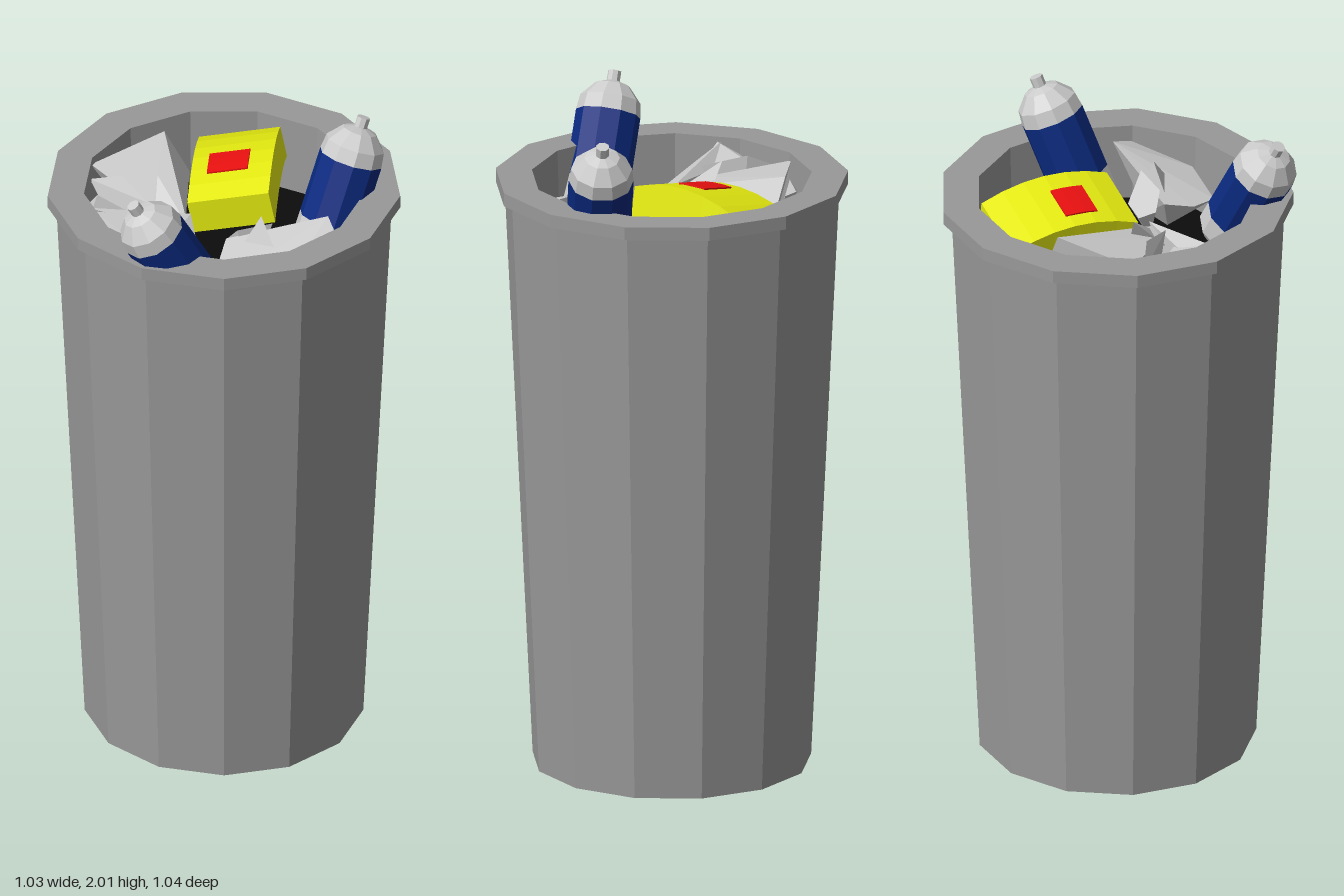
import * as THREE from 'three';
import { ConvexGeometry } from 'three/addons/geometries/ConvexGeometry.js';

const mat = (color, side = THREE.FrontSide) =>
  new THREE.MeshStandardMaterial({ color, flatShading: true, side });
const grey = mat(0xcccccc), binGrey = mat(0x999999), blue = mat(0x0b2a80);
const yellow = mat(0xe4ea10), red = mat(0xe81010), black = mat(0x0c0c0c, THREE.DoubleSide);

function add(parent, name, geometry, material) {
  const mesh = new THREE.Mesh(geometry, material);
  mesh.name = name;
  parent.add(mesh);
  return mesh;
}

// Revolved profile, [radius, height] listed from the bottom up on the outside
const lathe = (profile, sides) => new THREE.LatheGeometry(
  profile.map(([r, y]) => new THREE.Vector2(r, y)), sides, Math.PI / 2);

// Bottle hung from its tip, leaning along the given axis
function bottle(name, tip, axis) {
  const g = new THREE.Group();
  g.name = name;
  const r = 0.096;
  add(g, 'bottleBase', lathe([[0, -0.43], [0.075, -0.43], [r, -0.4], [r, -0.33]], 10), grey);
  add(g, 'bottleLabel', lathe([[r, -0.33], [r, -0.13]], 10), blue);
  add(g, 'bottleShoulder', lathe([[r, -0.13], [0.09, -0.085], [0.052, -0.042], [0.018, -0.03]], 10), grey);
  add(g, 'bottleCap', lathe([[0.02, -0.036], [0.02, 0], [0, 0]], 8), grey);
  g.position.set(...tip);
  g.quaternion.setFromUnitVectors(new THREE.Vector3(0, 1, 0), new THREE.Vector3(...axis).normalize());
  return g;
}

// Crumpled paper: faceted chunks, each the hull of a few corners
function paper(parent, name, chunks) {
  const g = new THREE.Group();
  g.name = name;
  chunks.forEach((pts) => add(g, 'paperFold',
    new ConvexGeometry(pts.map((p) => new THREE.Vector3(...p))), grey));
  parent.add(g);
}

// Height of the carton's arched, tilted top
const archY = (u, v) => 1.795 + 0.2 * u - v * v + 0.05 * v;

// Bends a box over the arch; its local top (y = 0) follows the surface
function arch(geometry) {
  const p = geometry.attributes.position;
  for (let i = 0; i < p.count; i++) {
    const u = p.getX(i), y = p.getY(i), v = p.getZ(i);
    p.setXYZ(i, u - y * 0.2, archY(u, v) + y, v);
  }
  geometry.computeVertexNormals();
  return geometry;
}

export function createModel() {
  const model = new THREE.Group();
  model.name = 'trashBin';

  // Bin: thirteen-sided hollow tapered wall with a flat overhanging rim
  const bin = new THREE.Group();
  bin.name = 'bin';
  bin.position.x = -0.0075;
  model.add(bin);
  add(bin, 'binWall', lathe([[0.415, 1.795], [0.35, 0], [0.413, 0], [0.497, 1.755]], 13), binGrey);
  add(bin, 'binRim', lathe([[0.497, 1.755], [0.5225, 1.755], [0.5225, 1.795], [0.415, 1.795]], 13), binGrey);

  // Dark fill under the rubbish
  const fill = add(bin, 'darkFill', new THREE.CircleGeometry(0.407, 13), black);
  fill.rotation.x = -Math.PI / 2;
  fill.position.y = 1.56;

  // Bottles
  model.add(bottle('leftBottle', [0.395, 1.998, 0.1], [0.37, 0.92, -0.14]));
  model.add(bottle('rightBottle', [-0.4, 1.975, 0.28], [-0.5, 0.87, -0.02]));

  // Arched carton with a patch on top
  const carton = new THREE.Group();
  carton.name = 'carton';
  carton.position.set(0.08, 0, -0.15);
  carton.rotation.y = -0.45;
  model.add(carton);
  add(carton, 'cartonBody', arch(new THREE.BoxGeometry(0.24, 0.1, 0.4, 1, 1, 6).translate(0, -0.05, 0)), yellow);
  add(carton, 'cartonPatch', arch(new THREE.BoxGeometry(0.12, 0.006, 0.1, 1, 1, 3).translate(-0.011, 0.001, 0.04)), red);

  // Back paper: broad tilted sheet, rear fold and two spikes
  paper(model, 'backPaper', [
    [[-0.32, 1.77, -0.28], [-0.07, 1.8, -0.33], [0, 1.66, -0.305], [-0.135, 1.72, 0.02],
      [-0.22, 1.73, -0.04], [-0.2, 1.57, -0.25], [-0.08, 1.57, -0.2]],
    [[-0.23, 1.74, -0.3], [-0.19, 1.72, -0.335], [-0.12, 1.74, -0.35], [-0.07, 1.74, -0.33], [-0.13, 1.57, -0.27]],
    [[-0.335, 1.74, -0.25], [-0.31, 1.66, -0.16], [-0.23, 1.76, -0.03], [-0.27, 1.79, -0.16], [-0.25, 1.57, -0.15]],
    [[-0.175, 1.8, -0.11], [-0.22, 1.7, -0.02], [-0.135, 1.7, 0.03], [-0.13, 1.7, -0.08]],
  ]);

  // Side paper: ridge running inwards from the wall
  paper(model, 'sidePaper', [
    [[-0.41, 1.78, -0.04], [-0.12, 1.73, 0.02], [-0.12, 1.65, 0.08], [-0.27, 1.66, 0.11],
      [-0.405, 1.72, 0.03], [-0.25, 1.57, -0.03], [-0.3, 1.73, -0.05]],
    [[-0.415, 1.75, -0.09], [-0.34, 1.73, -0.175], [-0.29, 1.71, -0.11], [-0.25, 1.72, 0],
      [-0.41, 1.78, -0.03], [-0.32, 1.57, -0.06]],
  ]);

  // Front paper: long sheet rising towards the left, with a rear fold
  paper(model, 'frontPaper', [
    [[-0.06, 1.71, 0.155], [0.225, 1.78, 0.25], [0.225, 1.75, 0.33], [0.045, 1.7, 0.4], [0, 1.64, 0.405],
      [-0.11, 1.68, 0.32], [-0.11, 1.69, 0.23], [0.02, 1.57, 0.26], [0.12, 1.57, 0.28]],
    [[-0.05, 1.69, 0.13], [0, 1.66, 0.11], [0.06, 1.68, 0.13], [0.07, 1.76, 0.2], [-0.03, 1.74, 0.17], [0.01, 1.57, 0.17]],
    [[0.03, 1.8, 0.21], [-0.03, 1.7, 0.2], [0.06, 1.7, 0.19], [0.05, 1.7, 0.3]],
  ]);

  return model;
}
